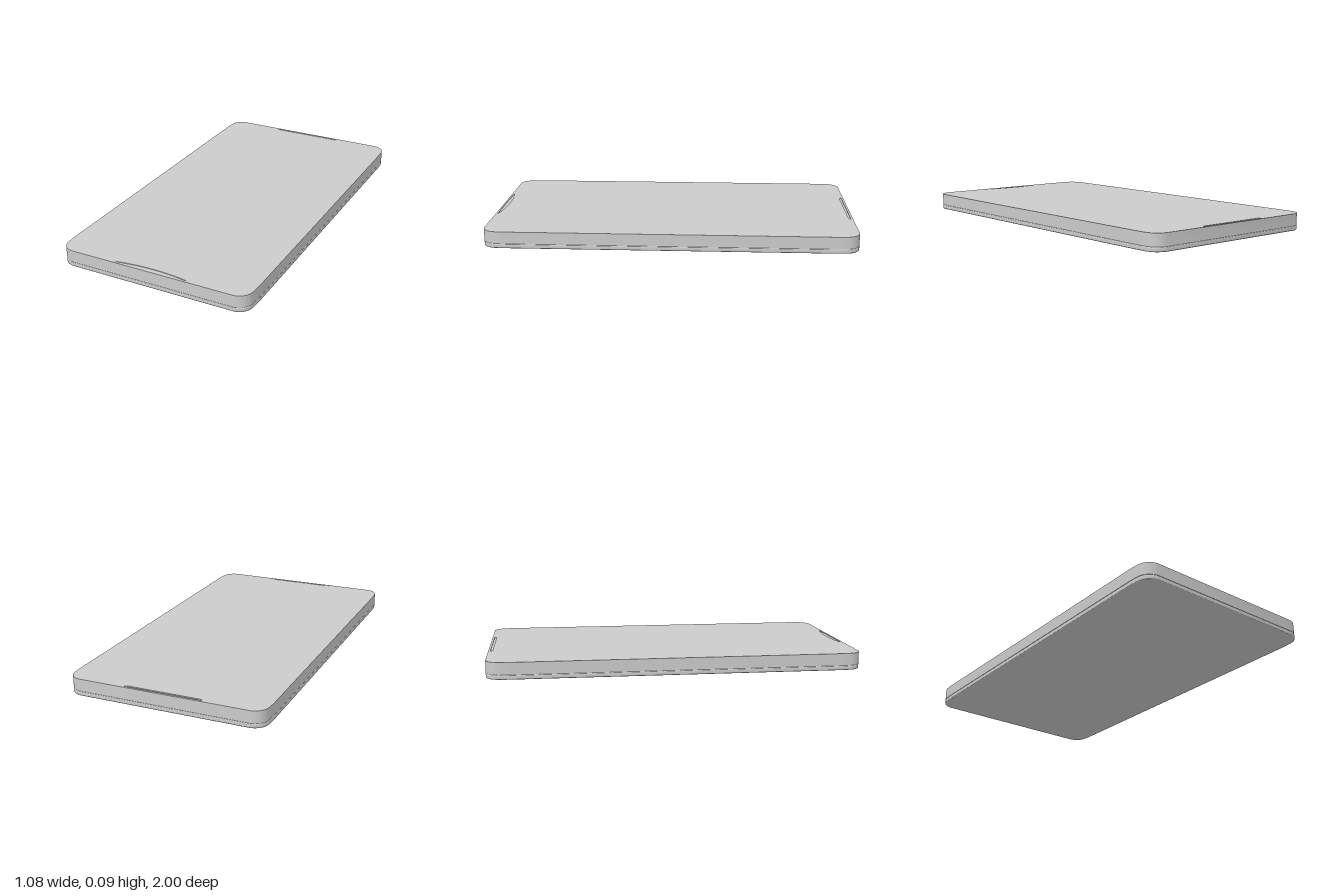
import * as THREE from 'three';
import { toCreasedNormals } from 'three/addons/utils/BufferGeometryUtils.js';

const W = 0.54, L = 1, R = 0.07; // half width, half length, corner radius

// Rounded outline, slightly pinched just before each corner
function outline() {
  const e = 0.003, s = new THREE.Shape();
  s.moveTo(-W, -L + 0.12);
  s.lineTo(-W + e, -L + R);
  s.quadraticCurveTo(-W + 0.012, -L + 0.012, -W + R, -L);
  s.lineTo(W - R, -L);
  s.quadraticCurveTo(W - 0.012, -L + 0.012, W - e, -L + R);
  s.lineTo(W, -L + 0.12);
  s.lineTo(W, L - 0.12);
  s.lineTo(W - e, L - R);
  s.quadraticCurveTo(W - 0.012, L - 0.012, W - R, L);
  s.lineTo(-W + R, L);
  s.quadraticCurveTo(-W + 0.012, L - 0.012, -W + e, L - R);
  s.lineTo(-W, L - 0.12);
  s.closePath();
  return s;
}

// Horizontal layer standing on height y
function layer(name, shape, y, depth, bevel = 0) {
  let geo = new THREE.ExtrudeGeometry(shape, {
    depth: depth - 2 * bevel, curveSegments: 16, bevelEnabled: bevel > 0,
    bevelThickness: bevel, bevelSize: bevel, bevelOffset: -bevel, bevelSegments: 3,
  });
  geo.rotateX(-Math.PI / 2);
  geo.translate(0, y + bevel, 0);
  geo = toCreasedNormals(geo, 0.6);
  const mesh = new THREE.Mesh(geo, new THREE.MeshStandardMaterial({ color: 0xcccccc }));
  mesh.name = name;
  return mesh;
}

export function createModel() {
  const group = new THREE.Group();
  group.name = 'flatSlab';

  // Bottom panel with softened edge, then the straight side walls
  group.add(layer('bottomPanel', outline(), 0, 0.025, 0.004));
  group.add(layer('body', outline(), 0.025, 0.063));

  // Top panel with shallow recesses: a curved one in front, a narrow slot behind
  const top = outline();
  const frontRecess = new THREE.Path();
  frontRecess.moveTo(-0.21, -0.988);
  frontRecess.quadraticCurveTo(0, -0.948, 0.21, -0.988);
  frontRecess.quadraticCurveTo(0, -0.994, -0.21, -0.988);
  const backSlot = new THREE.Path();
  backSlot.moveTo(-0.22, 0.988);
  backSlot.lineTo(0.22, 0.988);
  backSlot.lineTo(0.2, 0.977);
  backSlot.lineTo(-0.2, 0.977);
  backSlot.closePath();
  top.holes.push(frontRecess, backSlot);
  group.add(layer('topPanel', top, 0.088, 0.003));

  return group;
}
